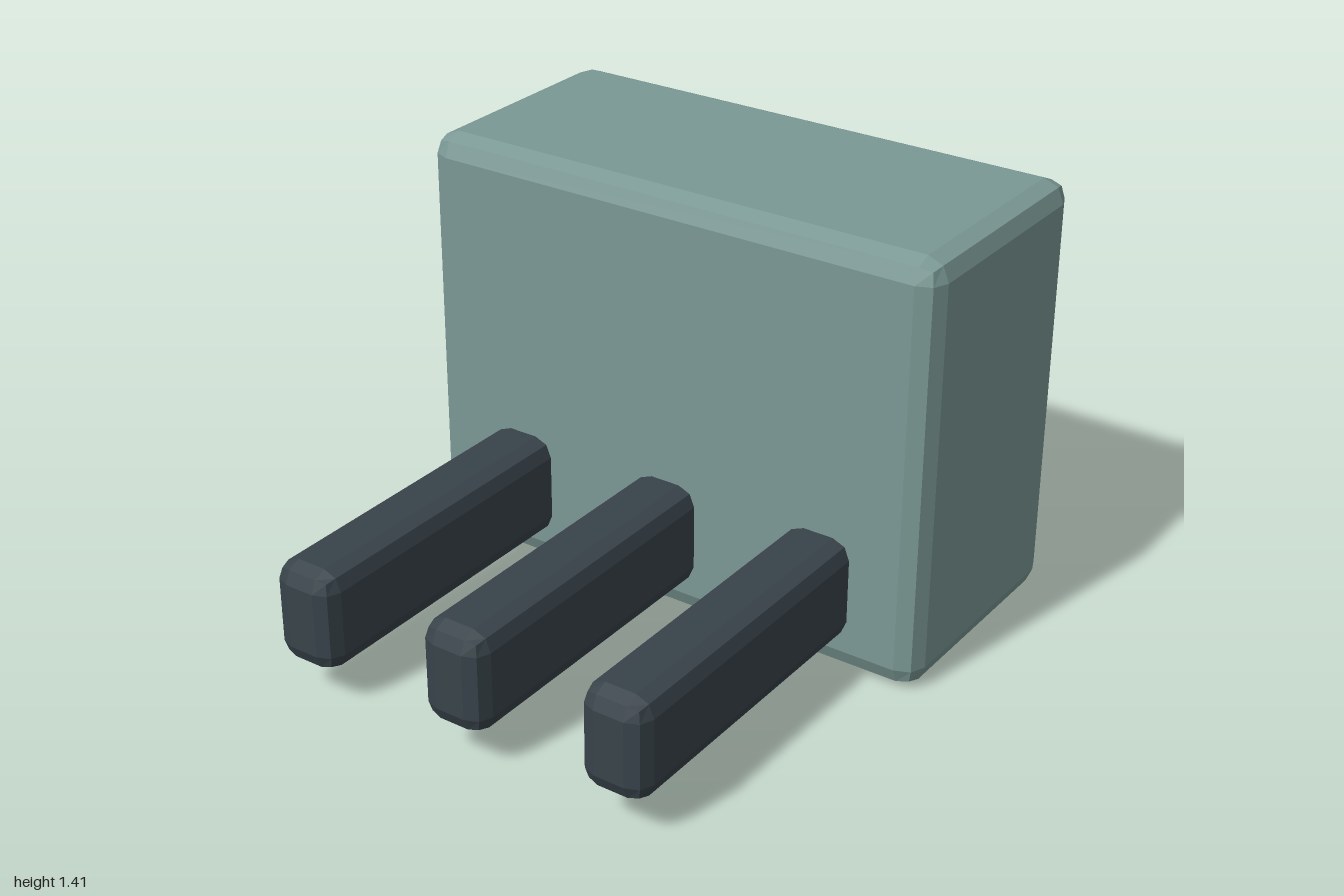
import * as THREE from 'three';
import { RoundedBoxGeometry } from 'three/addons/geometries/RoundedBoxGeometry.js';

function paint(name, color) {
  const m = new THREE.MeshStandardMaterial({ color, flatShading: true });
  m.name = name;
  return m;
}

export function createModel() {
  const group = new THREE.Group();
  group.name = 'plugAdapter';
  const teal = paint('greyTeal', 0x7b9995);
  const dark = paint('charcoal', 0x38434a);
  const steel = paint('steel', 0x9c9e9e);
  const cyan = paint('cyan', 0x58bdc8);

  // Box with two-step bevelled edges, given by its limits on each axis
  function block(name, mat, [x0, x1], [y0, y1], [z0, z1], bevel) {
    const geo = new RoundedBoxGeometry(x1 - x0, y1 - y0, z1 - z0, 1, bevel);
    const mesh = new THREE.Mesh(geo, mat);
    mesh.name = name;
    mesh.position.set((x0 + x1) / 2, (y0 + y1) / 2, (z0 + z1) / 2);
    group.add(mesh);
  }

  // Main housing
  block('housing', teal, [-0.91, 0.91], [0, 1.41], [-0.912, -0.07], 0.07);

  // Three prongs reaching forward
  for (const x of [-0.56, 0, 0.56]) {
    block('prong', dark, [x - 0.111, x + 0.111], [0.12, 0.455], [-0.15, 1], 0.06);
  }

  // Vent bars on the back
  for (const y of [0.5, 0.71, 0.92]) {
    block('ventBar', dark, [-0.64, 0.64], [y - 0.037, y + 0.037], [-0.974, -0.9], 0.014);
  }

  // Indicator light above the vents
  block('indicatorLight', cyan, [-0.28, 0.28], [1.157, 1.25], [-1, -0.934], 0.014);

  // Corner screws
  const screwGeo = new THREE.CylinderGeometry(0.055, 0.055, 0.074, 10);
  screwGeo.rotateX(Math.PI / 2);
  for (const x of [-0.635, 0.635]) {
    for (const y of [0.215, 1.205]) {
      const screw = new THREE.Mesh(screwGeo, steel);
      screw.name = 'screw';
      screw.position.set(x, y, -0.937);
      group.add(screw);
    }
  }

  return group;
}
